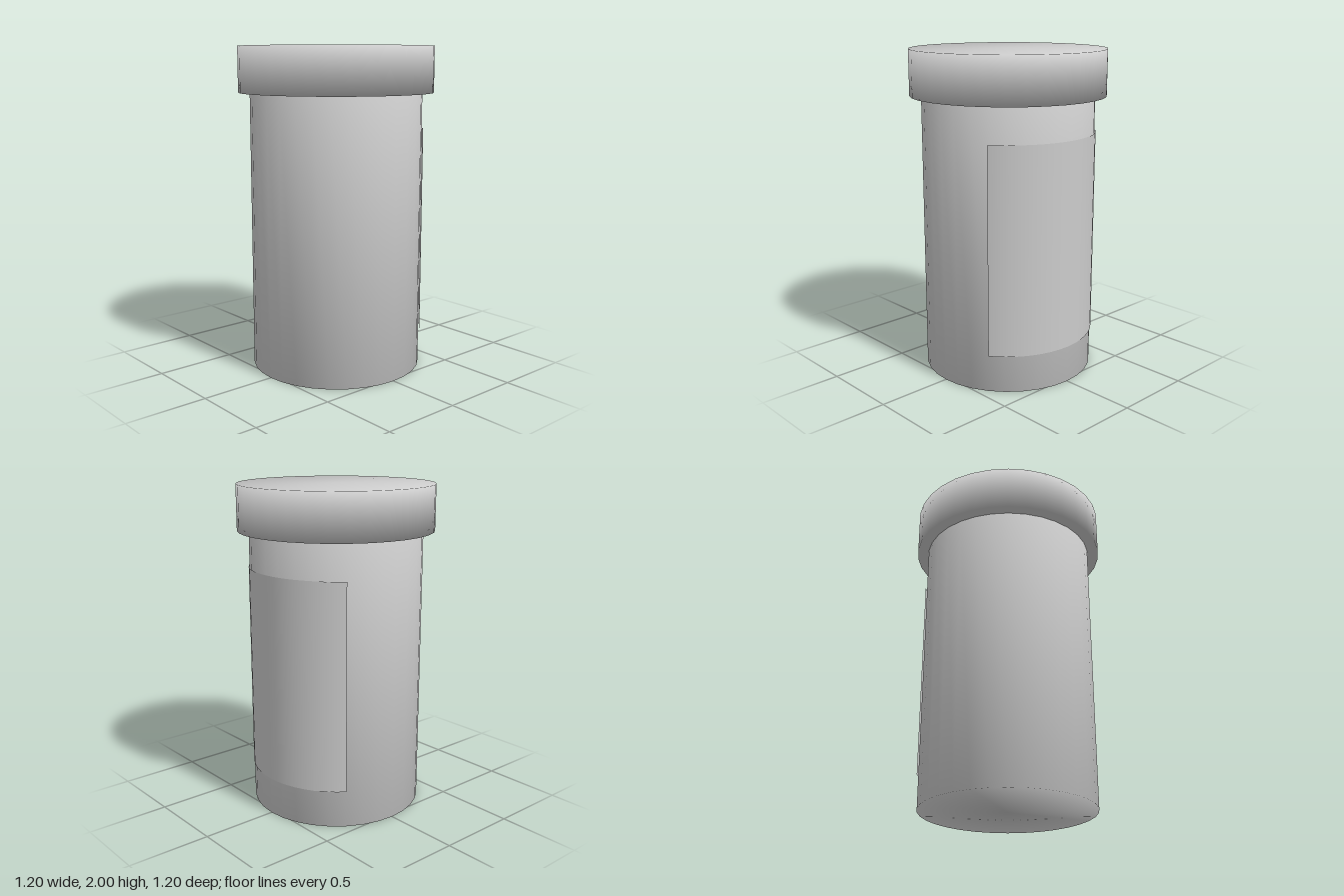
import * as THREE from 'three';

const material = new THREE.MeshStandardMaterial({ color: 0xcccccc });
const thinMaterial = new THREE.MeshStandardMaterial({ color: 0xcccccc, side: THREE.DoubleSide });

// Closed drum whose shading rolls softly over both rims
function drum(name, radius, bottom, top) {
  const profile = [[0, bottom], [radius, bottom], [radius, top], [0, top]]
    .map(([x, y]) => new THREE.Vector2(x, y));
  const mesh = new THREE.Mesh(new THREE.LatheGeometry(profile, 32), material);
  mesh.name = name;
  return mesh;
}

// Curved sheet wrapped around the +x side, lifting slightly at its edges
function wrapLabel() {
  const radius = 0.555, bottom = 0.23, top = 1.5;
  const halfAngle = Math.asin(0.448 / radius);
  const geometry = new THREE.CylinderGeometry(
    radius, radius, top - bottom, 16, 1, true, Math.PI / 2 - halfAngle, 2 * halfAngle);
  const mesh = new THREE.Mesh(geometry, thinMaterial);
  mesh.position.set(-0.024, (top + bottom) / 2, 0);
  mesh.name = 'label';
  return mesh;
}

export function createModel() {
  const group = new THREE.Group();
  group.name = 'bottle';
  group.add(
    drum('body', 0.53, 0, 1.73),
    drum('cap', 0.6, 1.72, 2),
    wrapLabel()
  );
  return group;
}
